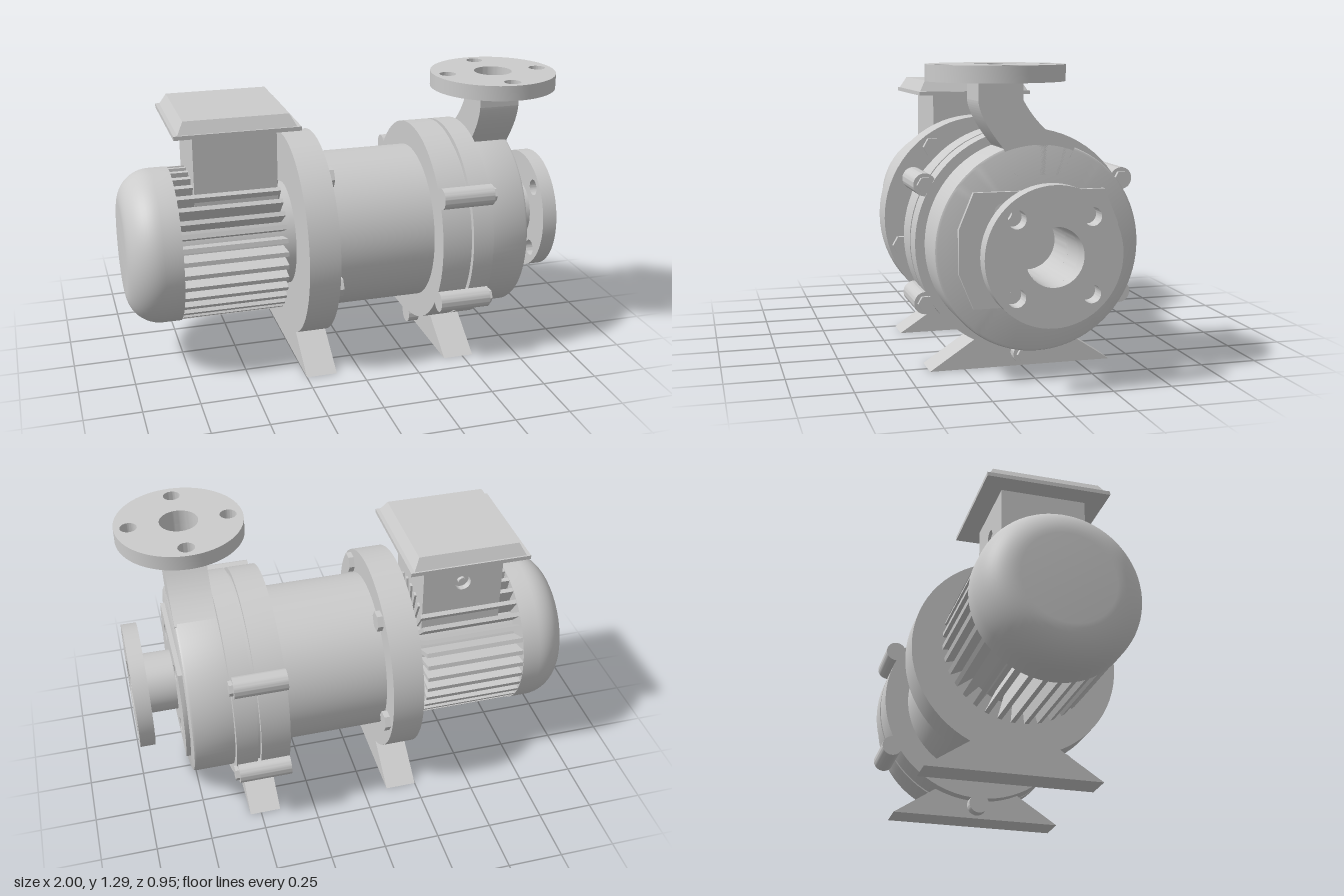
import * as THREE from 'three';
import { toCreasedNormals, mergeGeometries } from 'three/addons/utils/BufferGeometryUtils.js';

const AXIS = 0.555; // height of the shaft line

export function createModel() {
  const pump = new THREE.Group();
  pump.name = 'pump';
  const material = new THREE.MeshStandardMaterial({ color: 0xcccccc });

  const add = (name, geometry, x = 0, y = 0, z = 0, parent = pump) => {
    const mesh = new THREE.Mesh(geometry, material);
    mesh.name = name;
    mesh.position.set(x, y, z);
    parent.add(mesh);
    return mesh;
  };
  // Solid of revolution about the shaft; points are [radius, x]
  const turned = (points, segments = 72) => toCreasedNormals(
    new THREE.LatheGeometry(points.map(p => new THREE.Vector2(...p)), segments).rotateZ(-Math.PI / 2), 0.5);
  const disc = (r, x0, x1) => turned([[0, x0], [r, x0], [r, x1], [0, x1]]);
  const polygon = points => new THREE.Shape(points.map(p => new THREE.Vector2(...p)));
  const circle = (r, x = 0, y = 0, Type = THREE.Path) => new Type().absarc(x, y, r, 0, Math.PI * 2, false);
  const extrude = (shape, depth) => toCreasedNormals(
    new THREE.ExtrudeGeometry(shape, { depth, bevelEnabled: false, curveSegments: 32 }), 0.5);
  // Extrusion along x; shape coordinates are (-z, y)
  const slabX = (shape, x0, x1) => extrude(shape, x1 - x0).rotateY(Math.PI / 2).translate(x0, 0, 0);
  const boltHoles = (shape, radius, start) => {
    for (let i = 0; i < 4; i++) {
      const a = start + i * Math.PI / 2;
      shape.holes.push(circle(0.037, radius * Math.cos(a), radius * Math.sin(a)));
    }
    return shape;
  };
  const pipeFlange = (bore, holeRadius, start) => {
    const shape = circle(0.282, 0, 0, THREE.Shape);
    shape.holes.push(circle(bore));
    return boltHoles(shape, holeRadius, start);
  };

  // Motor: rounded fan cover, core and radial cooling fins
  const cover = [[0, -1], [0.2, -1]];
  for (let i = 1; i <= 12; i++) {
    const a = i / 12 * Math.PI / 2;
    cover.push([0.2 + 0.15 * Math.sin(a), -0.85 - 0.15 * Math.cos(a)]);
  }
  cover.push([0.35, -0.77], [0, -0.77]);
  add('fanCover', turned(cover), 0, AXIS);
  add('motorCore', disc(0.237, -0.78, -0.24), 0, AXIS);
  const fins = [];
  for (let i = 0; i < 36; i++) {
    fins.push(new THREE.BoxGeometry(0.46, 0.13, 0.02).translate(-0.54, 0.282, 0)
      .rotateX((i + 0.5) / 36 * Math.PI * 2));
  }
  add('coolingFins', mergeGeometries(fins), 0, AXIS);

  // Terminal box with a cable entry at the back and a bevelled lid
  const terminalBox = new THREE.Group();
  terminalBox.name = 'terminalBox';
  terminalBox.position.x = -0.505;
  pump.add(terminalBox);
  add('boxBody', new THREE.BoxGeometry(0.37, 0.38, 0.348), 0, 0.94, 0.014, terminalBox);
  const backPanel = polygon([[-0.185, 0.75], [0.185, 0.75], [0.185, 1.13], [-0.185, 1.13]]);
  backPanel.holes.push(circle(0.037, 0, 0.985));
  add('cableEntryPanel', extrude(backPanel, 0.028), 0, 0, -0.188, terminalBox);
  add('cableEntryPlug', new THREE.CylinderGeometry(0.018, 0.018, 0.02, 20).rotateX(Math.PI / 2),
    0, 0.985, -0.17, terminalBox);
  add('lidRim', new THREE.BoxGeometry(0.55, 0.018, 0.55), 0, 1.129, 0, terminalBox);
  const bevel = new THREE.CylinderGeometry(0.89 * Math.SQRT1_2, Math.SQRT1_2, 0.052, 4)
    .rotateY(Math.PI / 4).scale(0.515, 1, 0.535);
  add('lidTop', toCreasedNormals(bevel, 0.2), 0, 1.164, 0, terminalBox);

  // Bracket between motor and pump, with its flanges
  add('motorFlange', disc(0.47, -0.25, -0.11), 0, AXIS);
  add('bracket', disc(0.36, -0.12, 0.37), 0, AXIS);
  add('bracketFlange', disc(0.47, 0.36, 0.49), 0, AXIS);
  add('gasket', disc(0.445, 0.48, 0.515), 0, AXIS);
  add('casingFlange', disc(0.47, 0.505, 0.6), 0, AXIS);

  // Hexagon bolts on the motor flange
  const hexHead = (x0, x1, r) => new THREE.CylinderGeometry(r, r, x1 - x0, 6)
    .toNonIndexed().rotateZ(-Math.PI / 2).translate((x0 + x1) / 2, 0, 0);
  const headGeometry = hexHead(-0.115, -0.085, 0.046);
  headGeometry.computeVertexNormals();
  for (let i = 0; i < 5; i++) {
    const a = -Math.PI / 2 + i * Math.PI * 2 / 5;
    add('motorFlangeBolt', headGeometry, 0, AXIS + 0.41 * Math.sin(a), 0.41 * Math.cos(a));
  }

  // Bolt lugs around the casing joint; the outlet takes the top position
  const lug = disc(0.047, 0.36, 0.595);
  const lugHead = hexHead(0.59, 0.612, 0.034);
  lugHead.computeVertexNormals();
  for (let i = 0; i < 5; i++) {
    const a = Math.PI / 6 - i * Math.PI / 3;
    const y = AXIS + 0.493 * Math.sin(a), z = 0.493 * Math.cos(a);
    add('casingLug', lug, 0, y, z);
    add('casingBolt', lugHead, 0, y, z);
  }

  // Feet
  const foot = polygon([[-0.4, 0], [0.4, 0], [0.2, 0.132], [-0.2, 0.132]]);
  add('rearFoot', slabX(foot, -0.25, -0.11));
  add('frontFoot', slabX(foot, 0.41, 0.55));

  // Pump casing with a blind suction bore
  add('casing', turned([[0, 0.59], [0.43, 0.59], [0.43, 0.772], [0.426, 0.781], [0.417, 0.785],
    [0.12, 0.785], [0.12, 0.63], [0, 0.63]], 96), 0, AXIS);
  const plate = polygon([[-0.335, -0.09], [-0.275, -0.235], [0.275, -0.235], [0.335, -0.09],
    [0.335, 0.09], [0.275, 0.235], [-0.275, 0.235], [-0.335, 0.09]]);
  plate.holes.push(circle(0.12));
  add('suctionPlate', slabX(boltHoles(plate, 0.217, Math.PI / 4), 0.783, 0.805), 0, AXIS);

  // Suction pipe and flange
  add('suctionPipe', turned([[0.12, 0.8], [0.137, 0.8], [0.137, 0.935], [0.12, 0.935], [0.12, 0.8]]), 0, AXIS);
  add('suctionFlange', slabX(pipeFlange(0.12, 0.217, Math.PI / 4), 0.932, 1), 0, AXIS);

  // Curved outlet leaving the casing tangentially
  const outlet = new THREE.Shape();
  outlet.moveTo(-0.25, 1.15);
  outlet.quadraticCurveTo(-0.245, 1.08, -0.147, 0.96);
  outlet.lineTo(-0.1, 0.85);
  outlet.lineTo(0.1, 0.85);
  outlet.lineTo(0.15, 0.957);
  outlet.quadraticCurveTo(0.01, 1.015, -0.065, 1.15);
  add('outletNeck', slabX(outlet, 0.6, 0.785));
  const collar = polygon([[-0.0925, -0.0925], [0.0925, -0.0925], [0.0925, 0.0925], [-0.0925, 0.0925]]);
  collar.holes.push(circle(0.085));
  add('outletCollar', extrude(collar, 0.08).rotateX(-Math.PI / 2), 0.6925, 1.149, 0.1575);
  add('outletFlange', extrude(pipeFlange(0.085, 0.217, 0), 0.067).rotateX(-Math.PI / 2), 0.693, 1.225, 0.157);

  return pump;
}
